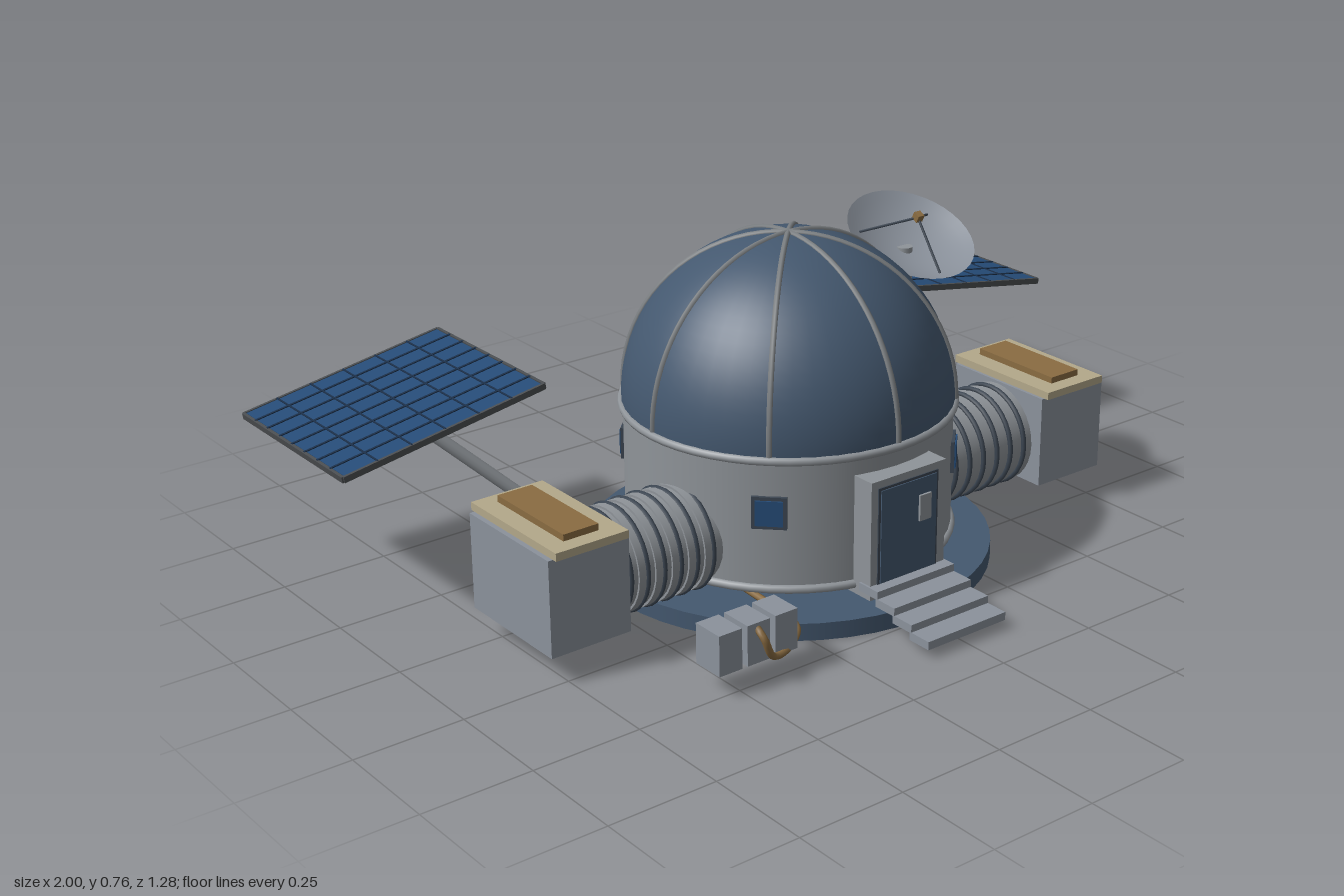
import * as THREE from 'three';

const mat = (name, color, side = THREE.FrontSide) => {
  const m = new THREE.MeshStandardMaterial({ color, side });
  m.name = name;
  return m;
};

export function createModel() {
  const navy = mat('navy', 0x44586f);
  const hull = mat('hullGrey', 0x8f9499);
  const metal = mat('metalGrey', 0x8b929c, THREE.DoubleSide);
  const trim = mat('trimGrey', 0x7b7f82);
  const ringDark = mat('ringDark', 0x3c4652);
  const beige = mat('beige', 0xb3a88a);
  const copper = mat('copper', 0x8a6c42);
  const solar = mat('solarBlue', 0x264c78);
  const grid = mat('gridDark', 0x1b2f49);
  const backing = mat('panelBacking', 0x4b4e51);

  const root = new THREE.Group();
  root.name = 'domeHabitat';
  const add = (parent, name, geo, material, x = 0, y = 0, z = 0) => {
    const m = new THREE.Mesh(geo, material);
    m.name = name;
    m.position.set(x, y, z);
    parent.add(m);
    return m;
  };
  const box = (parent, name, material, w, h, d, x, y, z) =>
    add(parent, name, new THREE.BoxGeometry(w, h, d), material, x, y, z);
  const rod = (parent, name, material, a, b, r, sides = 12) => {
    const p = new THREE.Vector3(...a), q = new THREE.Vector3(...b);
    const dir = q.clone().sub(p);
    const m = add(parent, name, new THREE.CylinderGeometry(r, r, dir.length(), sides), material);
    m.position.copy(p).add(q).multiplyScalar(0.5);
    m.quaternion.setFromUnitVectors(new THREE.Vector3(0, 1, 0), dir.normalize());
    return m;
  };
  const hoop = (parent, name, material, radius, tube, y) => {
    const m = add(parent, name, new THREE.TorusGeometry(radius, tube, 8, 56), material, 0, y, 0);
    m.rotation.x = Math.PI / 2;
    return m;
  };

  // Main building: pad, wall, dome, hoops and ribs
  const main = new THREE.Group();
  main.name = 'mainDome';
  main.position.z = 0.035;
  root.add(main);
  add(main, 'basePad', new THREE.CylinderGeometry(0.462, 0.462, 0.04, 48), navy, 0, 0.02, 0);
  add(main, 'wall', new THREE.CylinderGeometry(0.37, 0.37, 0.31, 48), hull, 0, 0.222, 0);
  add(main, 'dome', new THREE.SphereGeometry(0.373, 48, 20, 0, Math.PI * 2, 0, Math.PI / 2), navy, 0, 0.385, 0);
  add(main, 'domeRim', new THREE.CylinderGeometry(0.373, 0.373, 0.012, 48), navy, 0, 0.38, 0);
  hoop(main, 'lowerHoop', hull, 0.37, 0.01, 0.076);
  hoop(main, 'upperHoop', hull, 0.372, 0.01, 0.374);
  for (let i = 0; i < 4; i++) {
    const rib = add(main, 'domeRib', new THREE.TorusGeometry(0.373, 0.007, 6, 40, Math.PI), trim, 0, 0.385, 0);
    rib.rotation.y = i * Math.PI / 4;
  }

  // Windows around the wall, none where the door and tunnels sit
  for (const deg of [45, 135, 180, 225, 315]) {
    const w = new THREE.Group();
    w.name = 'window';
    w.rotation.y = THREE.MathUtils.degToRad(deg);
    main.add(w);
    box(w, 'windowFrame', ringDark, 0.076, 0.074, 0.02, 0, 0.256, 0.366);
    box(w, 'windowGlass', solar, 0.06, 0.058, 0.005, 0, 0.256, 0.377);
  }

  // Airlock door and steps
  box(root, 'doorFrame', hull, 0.21, 0.275, 0.085, 0, 0.193, 0.4025);
  box(root, 'doorSeam', ringDark, 0.168, 0.228, 0.004, -0.003, 0.2, 0.446);
  box(root, 'door', navy, 0.156, 0.216, 0.005, -0.003, 0.2, 0.448);
  box(root, 'doorPlate', hull, 0.032, 0.06, 0.006, 0.04, 0.24, 0.453);
  for (let i = 0; i < 4; i++)
    box(root, 'step', metal, 0.22, 0.019, 0.06, 0, 0.029 + i * 0.0172, 0.608 - i * 0.0545);

  // Side modules joined by ribbed tunnels, and solar panels
  for (const s of [-1, 1]) {
    const side = new THREE.Group();
    side.name = s > 0 ? 'leftModule' : 'rightModule';
    root.add(side);
    const tunnel = add(side, 'tunnel', new THREE.CylinderGeometry(0.115, 0.115, 0.3, 32), hull, s * 0.45, 0.157, 0.1);
    tunnel.rotation.z = Math.PI / 2;
    for (let i = 0; i < 6; i++) {
      const x = s * (0.35 + i * 0.043);
      const collar = add(side, 'tunnelCollar', new THREE.CylinderGeometry(0.12, 0.12, 0.022, 32), hull, x + s * 0.012, 0.157, 0.1);
      collar.rotation.z = Math.PI / 2;
      const ring = add(side, 'tunnelRing', new THREE.TorusGeometry(0.118, 0.006, 6, 32), ringDark, x, 0.157, 0.1);
      ring.rotation.y = Math.PI / 2;
    }
    box(side, 'tunnelSkid', ringDark, 0.3, 0.016, 0.08, s * 0.49, 0.052, 0.1);
    box(side, 'moduleBox', metal, 0.197, 0.22, 0.295, s * 0.688, 0.172, 0.1);
    box(side, 'moduleCap', beige, 0.178, 0.018, 0.318, s * 0.686, 0.291, 0.1);
    box(side, 'copperHatch', copper, 0.086, 0.015, 0.246, s * 0.688, 0.3075, 0.098);

    // Sloping solar panel on its strut
    rod(root, 'panelStrut', hull, [s * 0.41, 0.06, -0.19], [s * 0.755, 0.4, -0.405], 0.015);
    const panel = new THREE.Group();
    panel.name = 'solarPanel';
    panel.position.set(s * 0.748, 0.409, -0.412);
    panel.rotation.z = -s * 0.168;
    root.add(panel);
    const L = 0.506, D = 0.444;
    box(panel, 'panelBack', backing, L, 0.008, D, 0, -0.002, 0);
    box(panel, 'solarCells', solar, L - 0.01, 0.004, D - 0.01, 0, 0.004, 0);
    for (const e of [-1, 1]) {
      box(panel, 'panelEndRail', backing, 0.007, 0.014, D, e * L / 2, 0, 0);
      box(panel, 'panelSideRail', backing, L, 0.014, 0.007, 0, 0, e * D / 2);
    }
    for (let i = 1; i < 6; i++)
      box(panel, 'columnLine', grid, 0.004, 0.003, D, -L / 2 + i * L / 6, 0.0065, 0);
    for (let i = 1; i < 8; i++)
      box(panel, 'rowLine', grid, L, 0.003, 0.006, 0, 0.0065, -D / 2 + i * D / 8);
  }

  // Dish antenna on a mast
  rod(root, 'dishMast', hull, [0.38, 0.345, -0.01], [0.38, 0.635, -0.01], 0.019, 16);
  const dish = new THREE.Group();
  dish.name = 'dish';
  dish.position.set(0.38, 0.67, 0.012);
  dish.rotation.x = 0.45;
  root.add(dish);
  const bowlY = r => -0.045 + 0.045 * (r / 0.153) ** 2;
  const profile = [];
  for (let i = 0; i <= 8; i++) {
    const r = 0.153 * i / 8;
    profile.push(new THREE.Vector2(r, bowlY(r)));
  }
  add(dish, 'dishBowl', new THREE.LatheGeometry(profile, 36), metal);
  for (let i = 0; i < 3; i++) {
    const a = Math.PI / 2 + i * Math.PI * 2 / 3, r = 0.12;
    rod(dish, 'feedLeg', ringDark, [Math.cos(a) * r, bowlY(r), Math.sin(a) * r], [0, 0.05, 0], 0.003, 6);
  }
  box(dish, 'feed', copper, 0.018, 0.018, 0.018, 0, 0.052, 0);

  // Supply canisters and their hose
  for (let i = 0; i < 3; i++)
    box(root, 'canister', metal, 0.058, 0.092, 0.078, -0.526 + i * 0.072, 0.097, 0.466);
  const path = new THREE.CatmullRomCurve3([
    [-0.27, 0.052, 0.22], [-0.28, 0.052, 0.35], [-0.295, 0.052, 0.43], [-0.36, 0.052, 0.49],
    [-0.425, 0.06, 0.515], [-0.452, 0.11, 0.52], [-0.456, 0.13, 0.5],
  ].map(p => new THREE.Vector3(...p)));
  add(root, 'hose', new THREE.TubeGeometry(path, 40, 0.008, 8), copper);

  return root;
}
